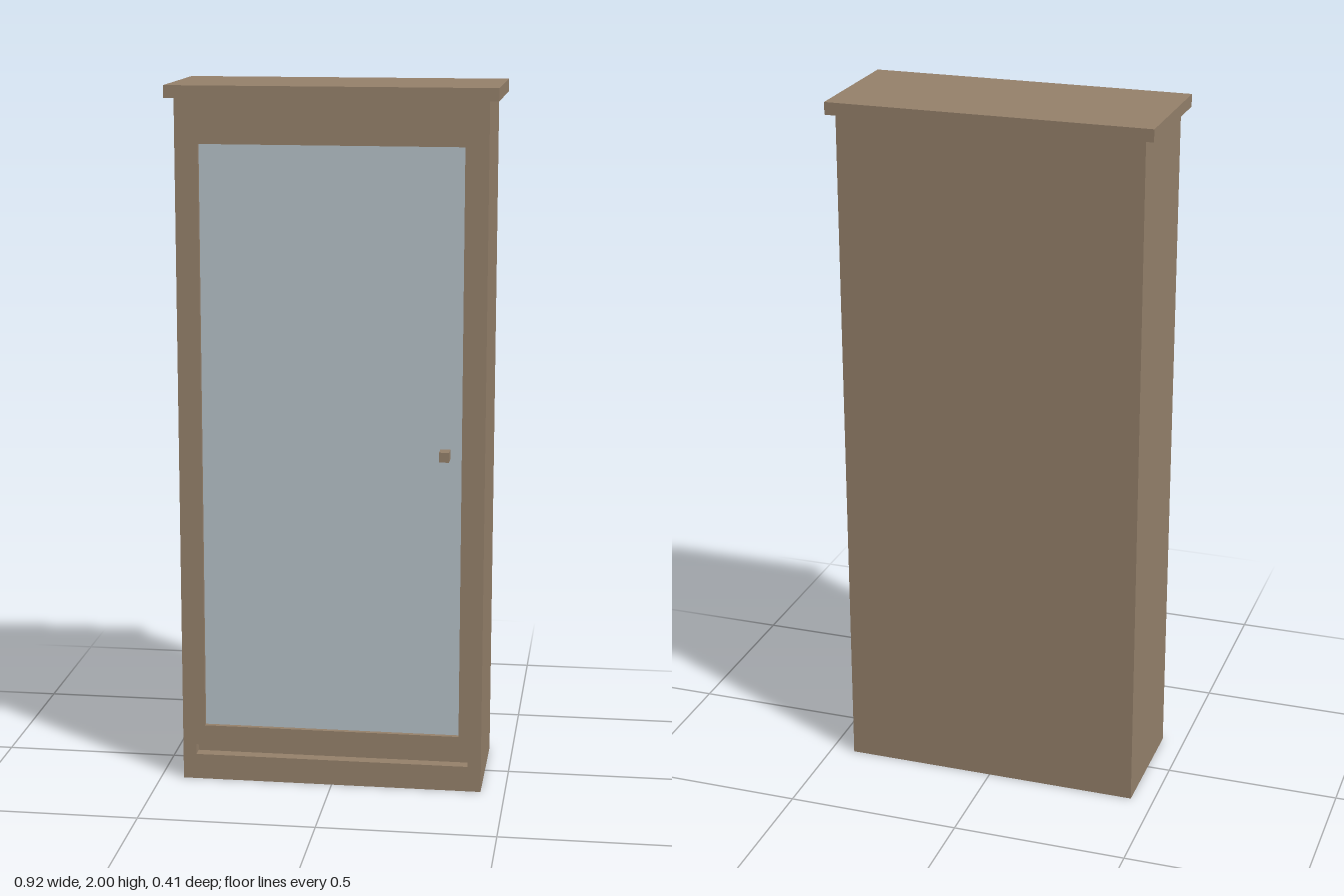
import * as THREE from 'three';

const wood = new THREE.MeshStandardMaterial({ color: 0x94806a });
wood.name = 'wood';
const glass = new THREE.MeshStandardMaterial({ color: 0xb4c0c7 });
glass.name = 'paleGlass';

// Box given by its limits on each axis
function box(name, material, [x0, x1], [y0, y1], [z0, z1]) {
  const mesh = new THREE.Mesh(new THREE.BoxGeometry(x1 - x0, y1 - y0, z1 - z0), material);
  mesh.position.set((x0 + x1) / 2, (y0 + y1) / 2, (z0 + z1) / 2);
  mesh.name = name;
  return mesh;
}

// Rectangle outline for a shape or a hole
function rectangle(path, [x0, x1], [y0, y1]) {
  path.moveTo(x0, y0);
  path.lineTo(x1, y0);
  path.lineTo(x1, y1);
  path.lineTo(x0, y1);
  path.closePath();
  return path;
}

export function createModel() {
  const group = new THREE.Group();
  group.name = 'cabinet';

  const bodyX = [-0.434, 0.431], bodyY = [0, 1.965];
  const back = -0.19, front = 0.175, frameDepth = 0.035;
  const windowX = [-0.369, 0.366], windowY = [0.163, 1.84];
  const slotX = [-0.396, 0.393], slotY = [0.074, 0.105];

  // Carcass behind the front frame
  group.add(box('carcass', wood, bodyX, bodyY, [back, front - frameDepth]));

  // Front frame with the window opening and the long slot
  const shape = rectangle(new THREE.Shape(), bodyX, bodyY);
  shape.holes.push(rectangle(new THREE.Path(), windowX, windowY));
  shape.holes.push(rectangle(new THREE.Path(), slotX, slotY));
  const frame = new THREE.Mesh(
    new THREE.ExtrudeGeometry(shape, { depth: frameDepth, bevelEnabled: false }), wood);
  frame.position.z = front - frameDepth;
  frame.name = 'frontFrame';
  group.add(frame);

  // Slightly recessed pane
  group.add(box('glassPane', glass, windowX, windowY, [0.152, 0.161]));

  // Knob and overhanging top
  group.add(box('knob', wood, [0.305, 0.333], [0.972, 1.0], [0.161, 0.203]));
  group.add(box('topBoard', wood, [-0.459, 0.457], [1.965, 2], [-0.204, 0.192]));

  return group;
}
